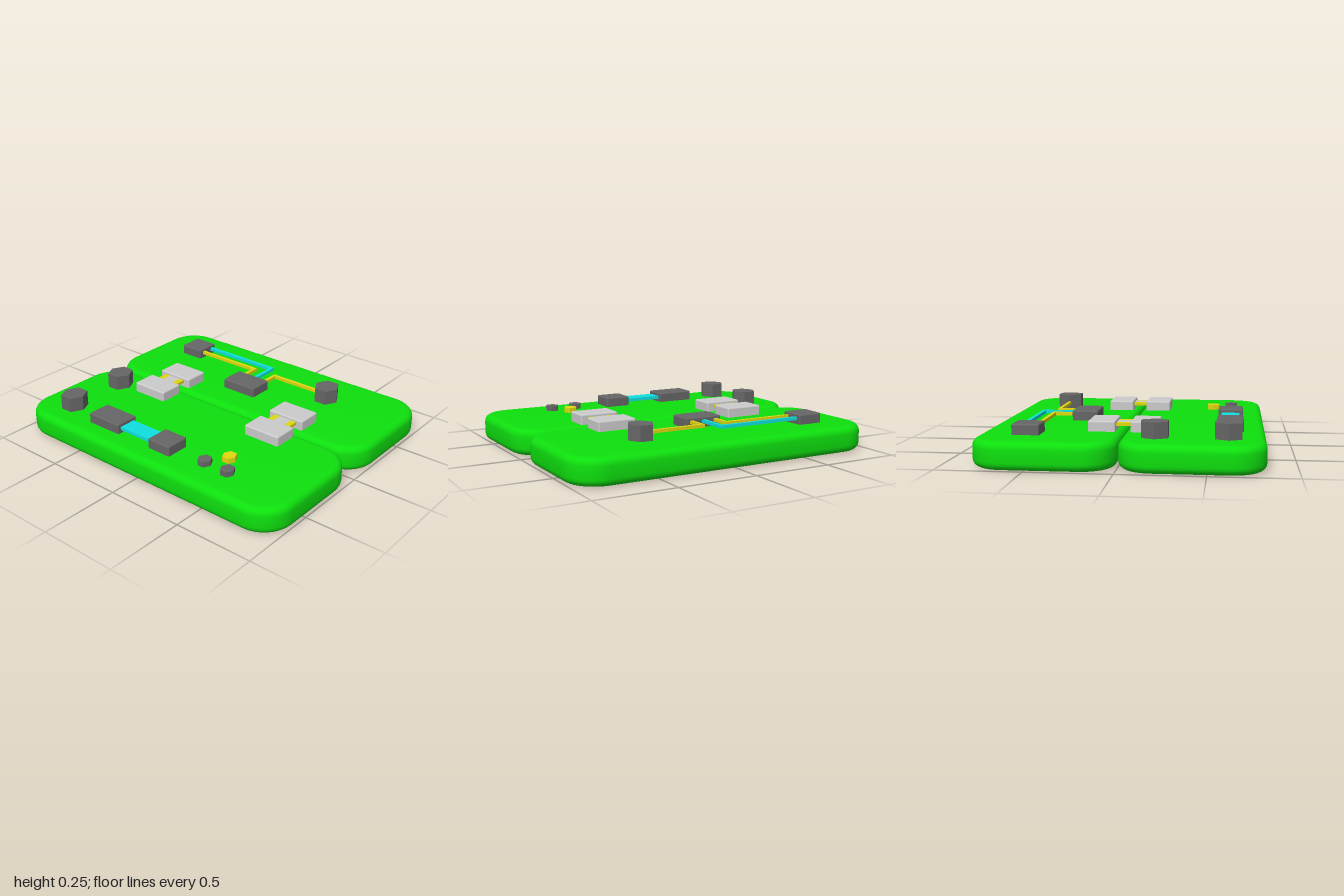
import * as THREE from 'three';
import { toCreasedNormals } from 'three/addons/utils/BufferGeometryUtils.js';
import { RoundedBoxGeometry } from 'three/addons/geometries/RoundedBoxGeometry.js';

const mat = (color) => new THREE.MeshStandardMaterial({ color });
const green = mat(0x0ee00e), dark = mat(0x666666), grey = mat(0xcccccc);
const yellow = mat(0xe0d810), cyan = mat(0x10e0e0);
const TOP = 0.162; // upper face of the boards

export function createModel() {
  const model = new THREE.Group();
  const add = (name, geometry, material, x = 0, y = 0, z = 0) => {
    const mesh = new THREE.Mesh(geometry, material);
    mesh.name = name;
    mesh.position.set(x, y, z);
    model.add(mesh);
    return mesh;
  };

  // Softly bevelled block standing on a board, given by its x and z limits
  const block = (name, material, x0, x1, z0, z1, y1 = 0.225) => {
    const y0 = TOP - 0.01;
    add(name, new RoundedBoxGeometry(x1 - x0, y1 - y0, z1 - z0, 2, 0.01), material,
      (x0 + x1) / 2, (y0 + y1) / 2, (z0 + z1) / 2);
  };

  // Flat strip, given by its x, y and z limits
  const strip = (name, material, x0, x1, y0, y1, z0, z1) =>
    add(name, new THREE.BoxGeometry(x1 - x0, y1 - y0, z1 - z0), material,
      (x0 + x1) / 2, (y0 + y1) / 2, (z0 + z1) / 2);

  // Six-sided post with corners towards +x and -x
  const post = (name, material, x, z, r, y1) => {
    const h = y1 - TOP + 0.01;
    const g = new THREE.CylinderGeometry(r, r, h, 6, 1, false, Math.PI / 2);
    g.scale(1, 1, 1.09);
    add(name, toCreasedNormals(g, 0.5), material, x, y1 - h / 2, z);
  };

  // Two rounded boards side by side
  const bevel = 0.045, w = 1 - bevel, d = 0.411 - bevel, r = 0.2 - bevel;
  const outline = new THREE.Shape();
  outline.absarc(w - r, d - r, r, 0, Math.PI / 2);
  outline.absarc(r - w, d - r, r, Math.PI / 2, Math.PI);
  outline.absarc(r - w, r - d, r, Math.PI, Math.PI * 1.5);
  outline.absarc(w - r, r - d, r, Math.PI * 1.5, Math.PI * 2);
  outline.closePath();
  const board = new THREE.ExtrudeGeometry(outline, {
    depth: TOP - 2 * bevel, bevelThickness: bevel, bevelSize: bevel, bevelSegments: 5, curveSegments: 8,
  });
  board.rotateX(-Math.PI / 2);
  const smoothBoard = toCreasedNormals(board, 0.6);
  add('frontBoard', smoothBoard, green, 0, bevel, 0.414);
  add('backBoard', smoothBoard, green, 0, bevel, -0.414);

  // Two connectors bridging the gap, each with three strips
  for (const x of [-0.46, 0.46]) {
    block('connectorFront', grey, x - 0.125, x + 0.125, 0.043, 0.205);
    block('connectorBack', grey, x - 0.125, x + 0.125, -0.207, -0.045);
    strip('connectorBridge', grey, x - 0.042, x + 0.042, 0.19, 0.208, -0.06, 0.06);
    for (const s of [-1, 1])
      strip('connectorContact', yellow, x + s * 0.061 - 0.019, x + s * 0.061 + 0.019, 0.19, 0.208, -0.06, 0.06);
  }

  // Front board: tall posts, linked blocks and small studs
  post('tallPost', dark, -0.73, 0.2, 0.08, 0.255);
  post('tallPost', dark, -0.73, 0.612, 0.08, 0.255);
  block('largeBlock', dark, -0.5, -0.25, 0.54, 0.697);
  block('smallBlock', dark, 0, 0.167, 0.54, 0.697);
  strip('ribbon', cyan, -0.26, 0.01, 0.182, 0.203, 0.562, 0.674);
  post('stud', dark, 0.375, 0.62, 0.043, 0.195);
  post('stud', dark, 0.542, 0.62, 0.043, 0.195);
  post('yellowStud', yellow, 0.46, 0.5, 0.043, 0.195);

  // Back board: blocks and post joined by bent wires
  block('cornerBlock', dark, -0.755, -0.59, -0.62, -0.458);
  block('middleBlock', dark, -0.167, 0.08, -0.375, -0.212);
  post('tallPost', dark, 0.46, -0.5, 0.08, 0.255);
  const wire = (name, material, xStart, xBend, z) => {
    const t = 0.011, s = Math.sign(xBend - xStart);
    const end = xBend + s * t;
    strip(name, material, Math.min(xStart, end), Math.max(xStart, end), 0.188, 0.208, z - t, z + t);
    strip(name, material, xBend - t, xBend + t, 0.188, 0.208, z + t, -0.36);
  };
  wire('cyanWire', cyan, -0.6, -0.043, -0.58);
  wire('yellowWireLeft', yellow, -0.6, -0.127, -0.497);
  wire('yellowWireRight', yellow, 0.42, 0.043, -0.497);

  return model;
}
